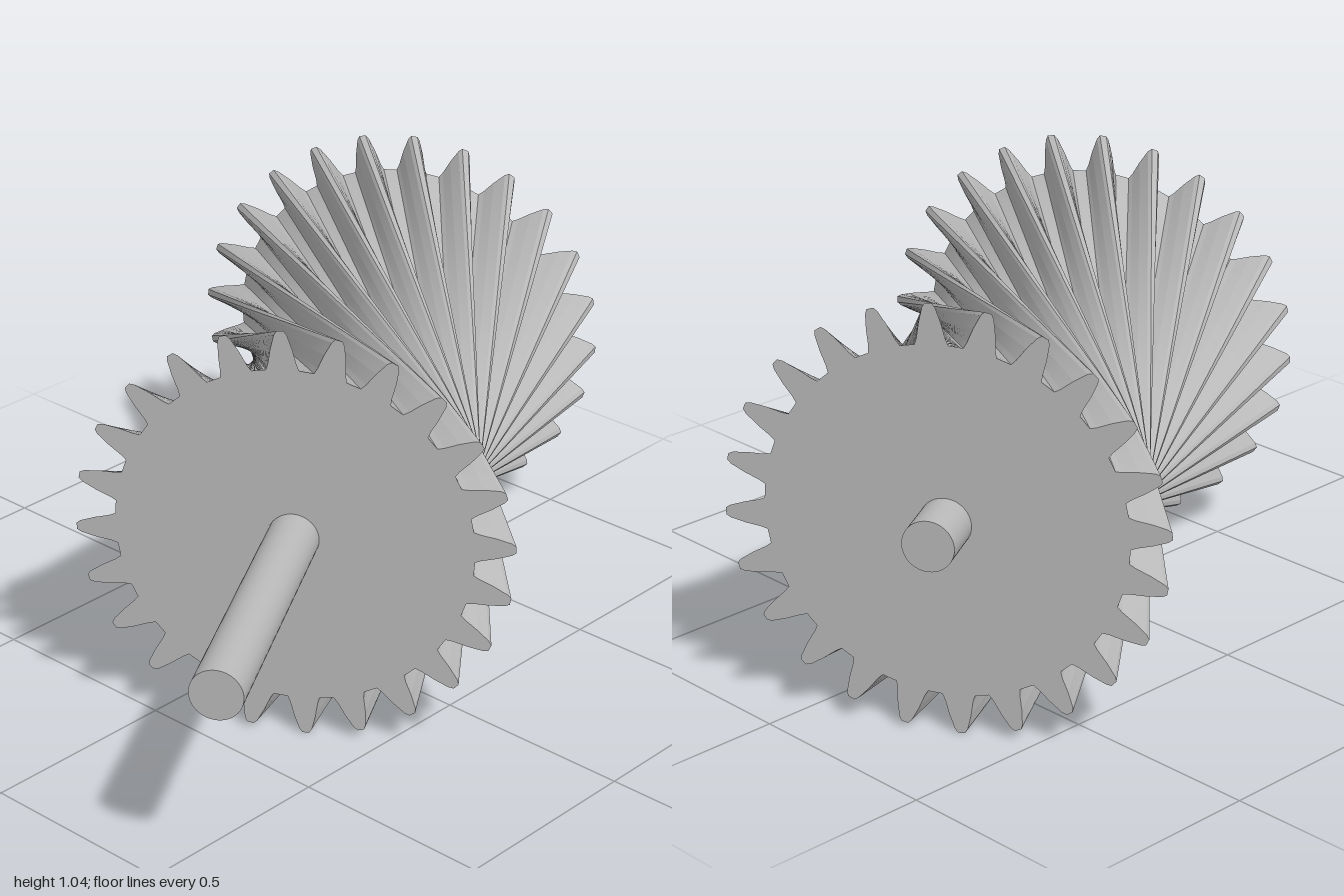
import * as THREE from 'three';

const TEETH = 24;
const HALF_LENGTH = 0.622;
const HALF_TWIST = THREE.MathUtils.degToRad(49.15);
const STEPS = 32;

// Half of one tooth: [angle from tooth centre in degrees, radius]
const FLANK = [[5.2, 0.425], [4.3, 0.44], [3.1, 0.475], [1.7, 0.51], [0.9, 0.52]];
const TOOTH = [
  ...FLANK.map(([a, r]) => [-a, r]),
  ...FLANK.slice().reverse(),
];

// Closed outline of the gear as [angle in radians from the top, radius]
function gearOutline() {
  const points = [];
  for (let t = 0; t < TEETH; t++) {
    for (const [a, r] of TOOTH) {
      points.push([THREE.MathUtils.degToRad((t + 0.5) * 360 / TEETH + a), r]);
    }
  }
  return points;
}

// Straight skew line through an outline point; s runs from -1 to 1 along the axis
function skewPoint([angle, radius], s) {
  const along = radius * Math.cos(HALF_TWIST);
  const across = radius * Math.sin(HALF_TWIST) * s;
  const sin = Math.sin(angle), cos = Math.cos(angle);
  return [along * sin + across * cos, along * cos - across * sin, s * HALF_LENGTH];
}

// Skin of twisted strips: smooth lengthwise, creased between neighbouring strips
function toothedSkin(outline) {
  const positions = [], indices = [];
  outline.forEach((p, i) => {
    const q = outline[(i + 1) % outline.length];
    const base = positions.length / 3;
    for (let k = 0; k <= STEPS; k++) {
      const s = -1 + 2 * k / STEPS;
      positions.push(...skewPoint(p, s), ...skewPoint(q, s));
      if (k < STEPS) {
        const a = base + 2 * k;
        indices.push(a, a + 2, a + 3, a, a + 3, a + 1);
      }
    }
  });
  const geometry = new THREE.BufferGeometry();
  geometry.setAttribute('position', new THREE.Float32BufferAttribute(positions, 3));
  geometry.setIndex(indices);
  geometry.computeVertexNormals();
  return geometry;
}

export function createModel() {
  const steel = new THREE.MeshStandardMaterial({ color: 0xb8b8b8 });
  steel.name = 'grey steel';

  const model = new THREE.Group();
  model.name = 'hyperboloidGear';

  // Tilted assembly: local z is the gear axis
  const assembly = new THREE.Group();
  assembly.name = 'gearAssembly';
  assembly.position.set(0.195, 0.521, -0.005);
  assembly.rotation.y = THREE.MathUtils.degToRad(120);
  model.add(assembly);

  const add = (name, geometry) => {
    const mesh = new THREE.Mesh(geometry, steel);
    mesh.name = name;
    assembly.add(mesh);
    return mesh;
  };

  // Waisted body with skew teeth
  const outline = gearOutline();
  add('toothedBody', toothedSkin(outline));

  // Flat end faces; the far one is the near one turned half round
  const endShape = new THREE.Shape(outline.map((p) => {
    const [x, y] = skewPoint(p, 1);
    return new THREE.Vector2(x, y);
  }));
  const endGeometry = new THREE.ShapeGeometry(endShape);
  add('shortShaftEndFace', endGeometry).position.z = HALF_LENGTH;
  const farFace = add('longShaftEndFace', endGeometry);
  farFace.position.z = -HALF_LENGTH;
  farFace.rotation.y = Math.PI;

  // Shaft through the body, long on one side and short on the other
  const shaftStart = -HALF_LENGTH - 0.724, shaftEnd = HALF_LENGTH + 0.127;
  const shaft = add('shaft', new THREE.CylinderGeometry(0.061, 0.061, shaftEnd - shaftStart, 48));
  shaft.rotation.x = Math.PI / 2;
  shaft.position.z = (shaftStart + shaftEnd) / 2;

  return model;
}
